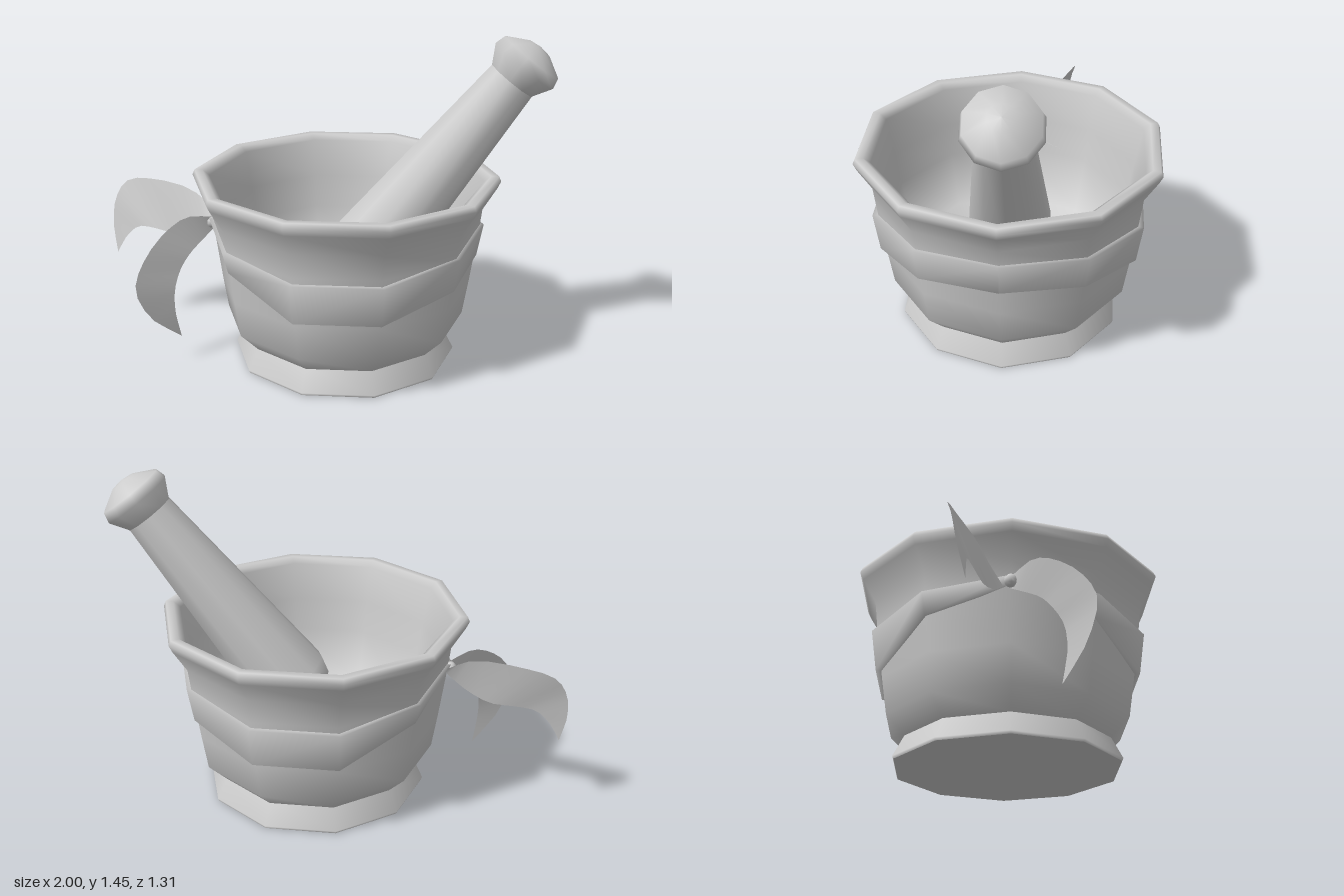
import * as THREE from 'three';

const rad = THREE.MathUtils.degToRad;
const SIDES = 10;
const CX = 0.1; // bowl axis
const material = new THREE.MeshStandardMaterial({ color: 0xcccccc });
const thin = new THREE.MeshStandardMaterial({ color: 0xcccccc, side: THREE.DoubleSide });

function lathe(name, profile, start) {
  const pts = profile.map(([r, y]) => new THREE.Vector2(r, y));
  const mesh = new THREE.Mesh(new THREE.LatheGeometry(pts, SIDES, rad(start)), material);
  mesh.name = name;
  return mesh;
}

// surface stitched between rows of equally many points
function loft(name, rows) {
  const n = rows[0].length, index = [];
  for (let j = 0; j < rows.length - 1; j++) {
    for (let i = 0; i < n - 1; i++) {
      const a = j * n + i, b = a + n;
      index.push(a, b, a + 1, b, b + 1, a + 1);
    }
  }
  const geo = new THREE.BufferGeometry();
  geo.setAttribute('position', new THREE.Float32BufferAttribute(rows.flat(2), 3));
  geo.setIndex(index);
  geo.computeVertexNormals();
  const mesh = new THREE.Mesh(geo, thin);
  mesh.name = name;
  return mesh;
}

// leaf-shaped ribbon end between two edge curves
function ribbonEnd(name, outer, inner) {
  const sample = (pts) => new THREE.CatmullRomCurve3(pts.map((p) => new THREE.Vector3(...p)))
    .getPoints(14).map((p) => p.toArray());
  return loft(name, [sample(outer), sample(inner)]);
}

// tilted strip around the bowl, narrowing towards the knot at -x
function wrappedBand() {
  const top = [0.62, 0.597, 0.553, 0.553, 0.597, 0.62];
  const bottom = [0.475, 0.445, 0.376, 0.376, 0.5, 0.58];
  const ring = (heights, r) => Array.from({ length: SIDES + 1 }, (_, k) => {
    const a = rad(2.5 + 36 * k), m = Math.min(k, SIDES - k);
    return [CX + r * Math.cos(a), heights[m], r * Math.sin(a)];
  });
  return loft('wrappedBand',
    [ring(bottom, 0.55), ring(bottom, 0.588), ring(top, 0.614), ring(top, 0.578)]);
}

export function createModel() {
  const model = new THREE.Group();

  // mortar: flared foot, then wall, rolled rim and hollow inside in one profile
  const mortar = new THREE.Group();
  mortar.name = 'mortar';
  mortar.position.x = CX;
  mortar.add(
    lathe('footUnderside', [[0, 0], [0.495, 0]], 15.5),
    lathe('foot', [[0.495, 0], [0.5, 0.012], [0.452, 0.104]], 15.5),
    lathe('bowl', [
      [0.452, 0.104], [0.535, 0.19], [0.56, 0.35], [0.592, 0.58], [0.605, 0.69],
      [0.665, 0.79], [0.68, 0.822], [0.67, 0.845], [0.635, 0.845], [0.605, 0.82],
      [0.57, 0.65], [0.545, 0.5], [0.48, 0.25], [0, 0.17],
    ], 15.5),
  );
  model.add(mortar);

  // pestle leaning out over +x; local origin at the neck below the knob
  const pestle = new THREE.Group();
  pestle.name = 'pestle';
  pestle.position.set(0.805, 1.265, 0);
  pestle.rotation.z = rad(-37.4);
  pestle.add(
    lathe('pestleShaft', [[0, -1.14], [0.1, -1.12], [0.168, -1.04], [0.187, -0.97], [0.112, 0]], 18),
    lathe('pestleKnob', [[0.112, 0], [0.16, 0.08], [0.148, 0.125], [0.055, 0.175], [0, 0.183]], 18),
  );
  model.add(pestle);

  model.add(wrappedBand());

  // knot and the two loose ends of the band
  const knot = new THREE.Mesh(new THREE.SphereGeometry(0.028, 8, 6), material);
  knot.name = 'knot';
  knot.position.set(-0.505, 0.597, -0.03);
  model.add(knot);

  model.add(ribbonEnd('backRibbonEnd',
    [[-0.49, 0.62, -0.09], [-0.6, 0.7, -0.16], [-0.8, 0.722, -0.255], [-0.93, 0.7, -0.295],
      [-0.985, 0.62, -0.28], [-1, 0.5, -0.26], [-0.98, 0.365, -0.225]],
    [[-0.49, 0.58, -0.06], [-0.58, 0.52, -0.095], [-0.68, 0.49, -0.145], [-0.78, 0.5, -0.185],
      [-0.87, 0.5, -0.215], [-0.93, 0.45, -0.222], [-0.98, 0.365, -0.225]]));
  model.add(ribbonEnd('frontRibbonEnd',
    [[-0.49, 0.62, -0.03], [-0.6, 0.647, 0.05], [-0.69, 0.6, 0.13], [-0.77, 0.5, 0.22],
      [-0.802, 0.39, 0.265], [-0.75, 0.24, 0.23], [-0.63, 0.115, 0.15]],
    [[-0.49, 0.57, -0.03], [-0.54, 0.53, 0.03], [-0.585, 0.49, 0.08], [-0.625, 0.43, 0.12],
      [-0.648, 0.35, 0.16], [-0.65, 0.25, 0.17], [-0.63, 0.115, 0.15]]));

  return model;
}
